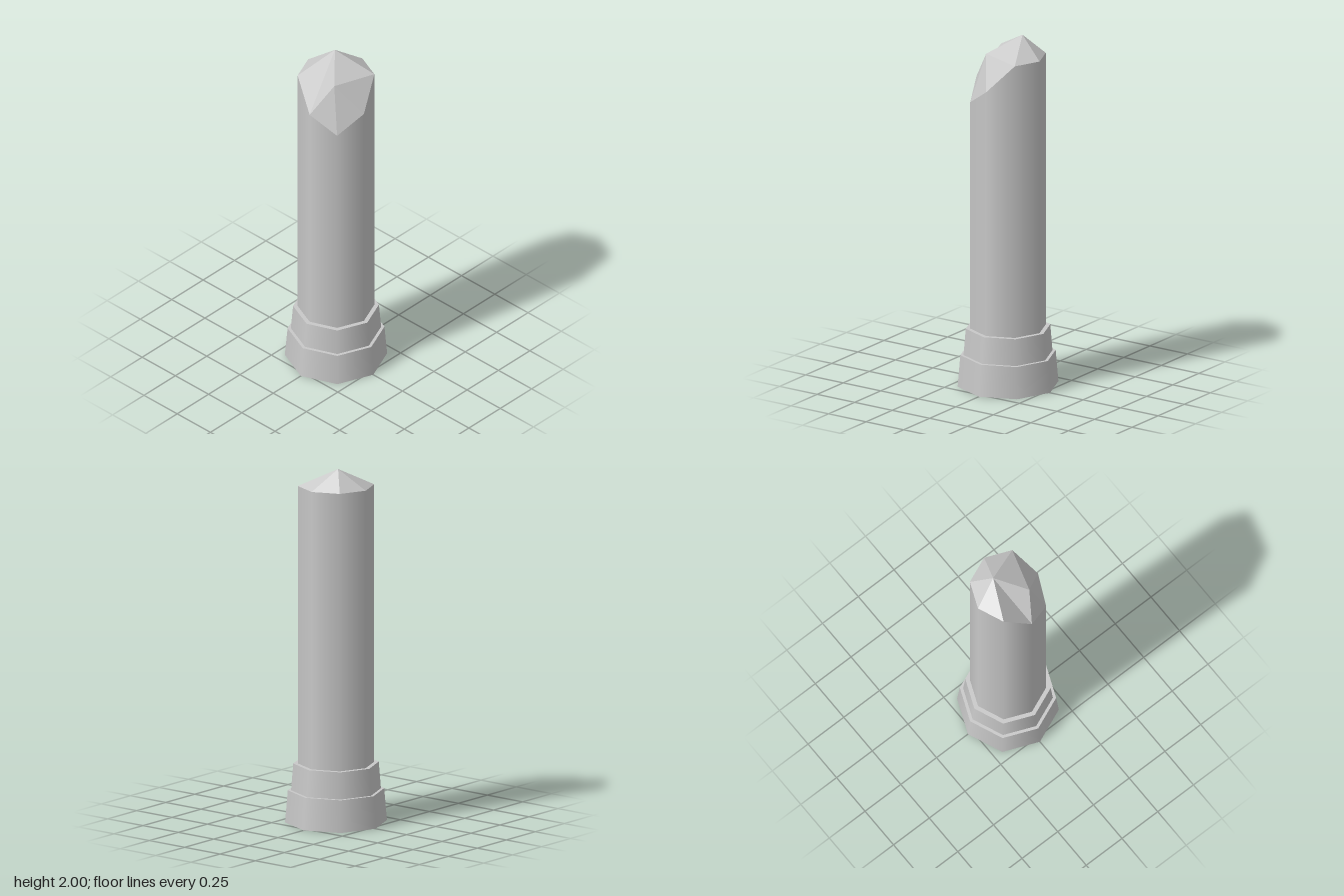
import * as THREE from 'three';

const SIDES = 8;
const RADIUS = 0.21;
const LEDGE_Y = 0.18;
const COLLAR_TOP = 0.33;

export function createModel() {
  const group = new THREE.Group();
  const stone = new THREE.MeshStandardMaterial({ color: 0xc8c8c8, side: THREE.DoubleSide });
  stone.name = 'grey stone';

  const add = (name, geometry, y = 0) => {
    const mesh = new THREE.Mesh(geometry, stone);
    mesh.name = name;
    mesh.position.y = y;
    group.add(mesh);
  };

  // Hollow tapered foot, open underneath, with a flat ledge on top
  add('foot', new THREE.CylinderGeometry(0.265, 0.28, LEDGE_Y, SIDES, 1, true), LEDGE_Y / 2);
  add('footLedge', new THREE.RingGeometry(0.24, 0.265, SIDES).rotateX(-Math.PI / 2), LEDGE_Y);

  // Closed tapered collar
  const collarHeight = COLLAR_TOP - LEDGE_Y;
  add('collar', new THREE.CylinderGeometry(0.235, 0.247, collarHeight, SIDES), LEDGE_Y + collarHeight / 2);

  // Broken rim heights, starting at the front and turning towards +x
  const rimHeights = [1.73, 1.89, 1.89, 1.89, 1.89, 1.89, 1.73, 1.63];
  const rim = rimHeights.map((y, i) => {
    const a = (i / SIDES) * Math.PI * 2;
    return new THREE.Vector3(Math.sin(a) * RADIUS, y, Math.cos(a) * RADIUS);
  });

  // Smooth shaft whose top row follows the broken rim
  const shaft = new THREE.CylinderGeometry(RADIUS, RADIUS, 1, SIDES, 1, true);
  const pos = shaft.attributes.position;
  for (let i = 0; i < pos.count; i++) {
    pos.setY(i, i <= SIDES ? rimHeights[i % SIDES] : COLLAR_TOP);
  }
  add('shaft', shaft);

  // Faceted broken crown: two peaks, each fanned to its part of the rim
  const peak = new THREE.Vector3(0.055, 2, -0.06);
  const shoulder = new THREE.Vector3(-0.093, 1.9, 0.075);
  const points = [];
  for (let i = 0; i < SIDES; i++) {
    const tip = i >= 1 && i <= 5 ? peak : shoulder;
    points.push(rim[i], rim[(i + 1) % SIDES], tip);
  }
  points.push(rim[1], peak, shoulder, rim[6], shoulder, peak);
  const crown = new THREE.BufferGeometry().setFromPoints(points);
  crown.computeVertexNormals();
  add('brokenCrown', crown);

  return group;
}
